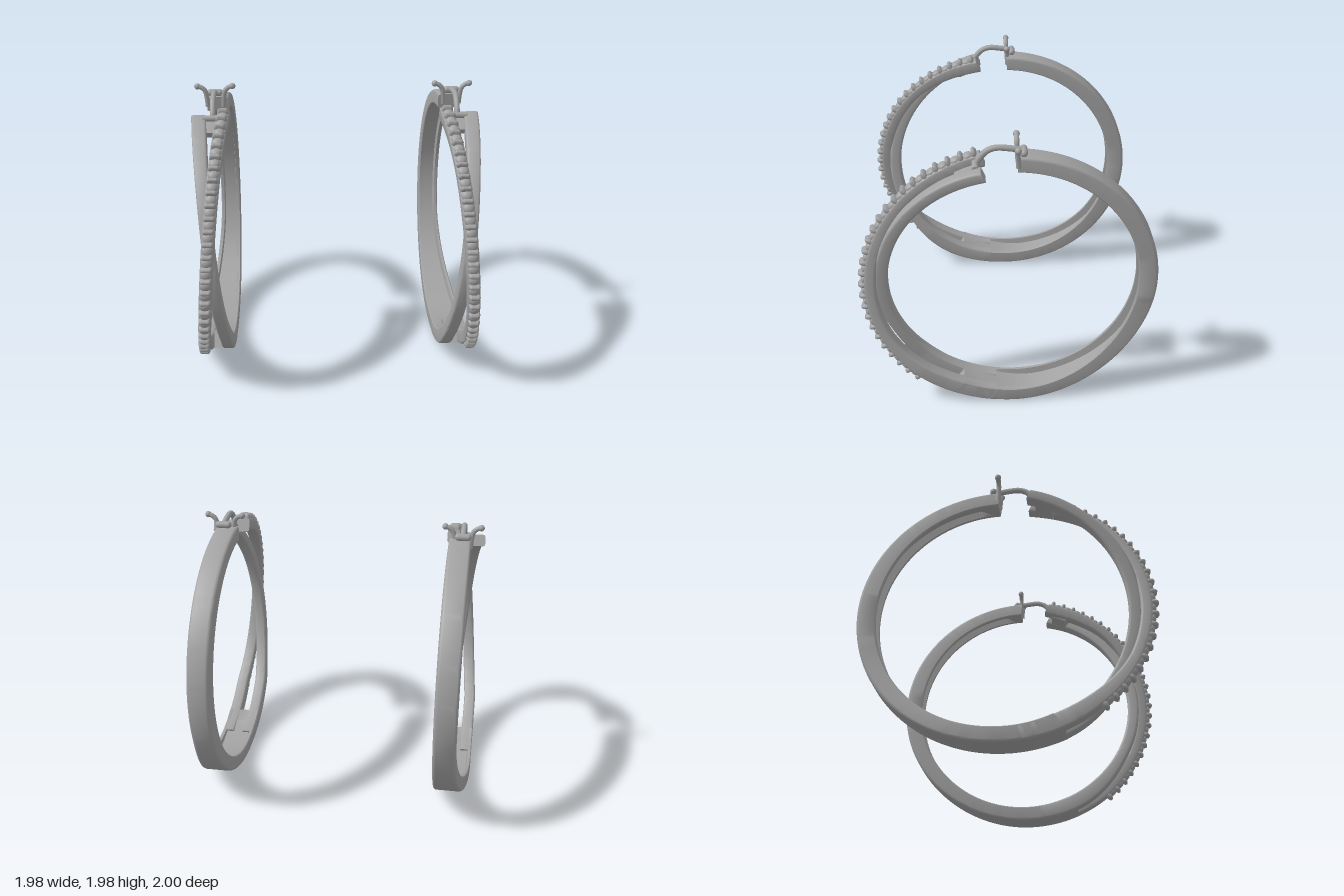
import * as THREE from 'three';
import { toCreasedNormals, mergeGeometries } from 'three/addons/utils/BufferGeometryUtils.js';

const rad = THREE.MathUtils.degToRad;
const { smoothstep, lerp } = THREE.MathUtils;

// point on the hoop: angle in degrees (0 front, 90 top), k = 0 inner rim, 1 outer rim
function hoop(x, deg, k) {
  const c = Math.cos(rad(deg)), s = Math.sin(rad(deg));
  return new THREE.Vector3(x,
    lerp(0.95 + 0.836 * s, 0.95 + 0.94 * s, k),
    lerp(-0.035 + 0.836 * c, -0.02 + 0.98 * c, k));
}

// rounded rectangle in (x, k), counter-clockwise
function roundedSection(x0, x1, k0, k1, rx = 0.02, rk = 0.16) {
  const pts = [];
  const corners = [[x1 - rx, k0 + rk, -90], [x1 - rx, k1 - rk, 0], [x0 + rx, k1 - rk, 90], [x0 + rx, k0 + rk, 180]];
  for (const [cx, ck, a] of corners) {
    for (let i = 0; i <= 3; i++) {
      const t = rad(a + i * 30);
      pts.push([cx + rx * Math.cos(t), ck + rk * Math.sin(t)]);
    }
  }
  return pts;
}

// U channel open towards the inside of the hoop
function channelSection(x0, x1, floor) {
  const w = 0.026, pts = [];
  pts.push([x0, 0.06], [x0 + 0.006, 0], [x0 + w, 0], [x0 + w + 0.006, floor], [x1 - w - 0.006, floor],
    [x1 - w, 0], [x1 - 0.006, 0], [x1, 0.06]);
  for (const [cx, a] of [[x1 - 0.025, 0], [x0 + 0.025, 90]]) {
    for (let i = 0; i <= 4; i++) {
      const t = rad(a + i * 22.5);
      pts.push([cx + 0.025 * Math.cos(t), 0.82 + 0.18 * Math.sin(t)]);
    }
  }
  return pts;
}

// sweep a changing section along the hoop, with closed ends
function sweep(a0, a1, steps, section) {
  const pos = [], idx = [];
  let m = 0, caps = [];
  for (let i = 0; i <= steps; i++) {
    const a = lerp(a0, a1, i / steps), pts = section(a);
    m = pts.length;
    for (const [x, k] of pts) pos.push(...hoop(x, a, k).toArray());
    if (i === 0 || i === steps) {
      caps.push(THREE.ShapeUtils.triangulateShape(pts.map(p => new THREE.Vector2(p[0], p[1])), []));
    }
  }
  for (let i = 0; i < steps; i++) {
    for (let j = 0; j < m; j++) {
      const a = i * m + j, b = i * m + (j + 1) % m;
      idx.push(a, a + m, b, b, a + m, b + m);
    }
  }
  for (const [p, q, r] of caps[0]) idx.push(p, q, r);
  const o = steps * m;
  for (const [p, q, r] of caps[1]) idx.push(o + p, o + r, o + q);
  const g = new THREE.BufferGeometry();
  g.setAttribute('position', new THREE.Float32BufferAttribute(pos, 3));
  g.setIndex(idx);
  return toCreasedNormals(g, rad(38));
}

function tube(points, r) {
  const curve = new THREE.CatmullRomCurve3(points.map(p => new THREE.Vector3(...p)));
  return new THREE.TubeGeometry(curve, 24, r, 10);
}

function ball(r, x, y, z) {
  return new THREE.SphereGeometry(r, 12, 8).translate(x, y, z);
}

function join(list) {
  const parts = list.map(g => {
    const n = g.index ? g.toNonIndexed() : g;
    n.deleteAttribute('uv');
    return n;
  });
  return mergeGeometries(parts);
}

// mirror across x, reversing the corner order
function mirrored(geometry) {
  const g = (geometry.index ? geometry.toNonIndexed() : geometry.clone()).scale(-1, 1, 1);
  for (const name of Object.keys(g.attributes)) {
    const at = g.attributes[name], n = at.itemSize, arr = at.array;
    for (let i = 0; i < at.count; i += 3) {
      for (let c = 0; c < n; c++) {
        const p = (i + 1) * n + c, q = (i + 2) * n + c, tmp = arr[p];
        arr[p] = arr[q];
        arr[q] = tmp;
      }
    }
  }
  return g;
}

// centre lines of the two crossing front bands
const stoneX = a => Math.min(0.945, 0.95 - (a + 50) * 0.00146);
const plainX = a => Math.max(0.79, 0.845 + a * 0.0012);

function earringParts() {
  const parts = {};

  // back half, widening under the hoop and solid at both ends
  parts.backBand = sweep(91.5, 294, 90, a => {
    const x1 = lerp(0.895, 0.988, smoothstep(a, 195, 272));
    const x0 = lerp(0.742, 0.75, smoothstep(a, 230, 290));
    const floor = 0.04 + 0.42 * smoothstep(a, 95, 101) * (1 - smoothstep(a, 258, 288));
    return channelSection(x0, x1, floor);
  });

  // plain front band, passing beneath the stone band
  parts.plainBand = sweep(-82, 77.5, 70, a => {
    const x = plainX(a), h = lerp(0.042, 0.05, smoothstep(a, 20, 76));
    let top = lerp(0.96, 0.55, smoothstep(a, -68, -25));
    top = lerp(top, 0.68, smoothstep(a, 40, 77));
    return roundedSection(x - h, x + h, 0, top, 0.016, 0.12);
  });

  // stone-set front band
  parts.stoneBand = sweep(-82, 78, 70, a => {
    const x = stoneX(a);
    const low = 0.48 * smoothstep(a, -72, -20) * (1 - 0.7 * smoothstep(a, 40, 77));
    return roundedSection(x - 0.043, x + 0.043, low, 0.98, 0.016, 0.12);
  });

  // row of domed stones with raised bars between them
  const stones = [], bars = [];
  for (let i = 0; i < 26; i++) {
    const a = -49 + i * 5;
    const b = a + 2.5;
    const p = hoop(stoneX(a), a, 1);
    bars.push(new THREE.CapsuleGeometry(0.019, 0.042, 4, 10).rotateZ(Math.PI / 2).scale(1, 1.9, 1)
      .rotateX(Math.PI / 2 - rad(a)).translate(p.x, p.y, p.z));
    if (i < 25) {
      const q = hoop(stoneX(b), b, 0.96);
      stones.push(new THREE.SphereGeometry(0.037, 14, 10).scale(1, 0.65, 1)
        .rotateX(Math.PI / 2 - rad(b)).translate(q.x, q.y, q.z));
    }
  }
  parts.stones = join(stones);
  parts.stoneBars = join(bars);

  // bridge joining the two bands at the top, with the hinge pin
  parts.topBridge = sweep(66, 74, 6, () => roundedSection(0.77, 0.93, 0.05, 0.5, 0.01, 0.1));
  parts.hingePin = new THREE.CylinderGeometry(0.022, 0.022, 0.14, 14).rotateZ(Math.PI / 2).translate(0.84, 1.82, 0.21);

  // ear wire with a crosswise tip
  parts.earWire = tube([[0.838, 1.82, 0.205], [0.838, 1.86, 0.185], [0.838, 1.915, 0.135], [0.838, 1.935, 0.08],
    [0.838, 1.93, 0], [0.838, 1.92, -0.06], [0.838, 1.91, -0.095]], 0.02);
  parts.wireTip = new THREE.CapsuleGeometry(0.025, 0.065, 5, 12).rotateZ(Math.PI / 2).translate(0.838, 1.91, -0.093);

  // pair of outward curling catch hooks on the back band
  const hooks = [];
  for (const s of [-1, 1]) {
    const x = d => 0.835 + s * d;
    hooks.push(tube([[x(0.055), 1.82, -0.06], [x(0.06), 1.89, -0.055], [x(0.07), 1.935, -0.053],
      [x(0.095), 1.96, -0.053], [x(0.122), 1.968, -0.053]], 0.017));
    hooks.push(ball(0.022, x(0.122), 1.968, -0.053));
  }
  parts.catchHooks = join(hooks);
  return parts;
}

export function createModel() {
  const metal = new THREE.MeshStandardMaterial({ color: 0xa2a2a2 });
  metal.name = 'grey metal';
  const model = new THREE.Group();
  model.name = 'hoopEarrings';
  const parts = earringParts();
  for (const side of ['left', 'right']) {
    const earring = new THREE.Group();
    earring.name = side + 'Earring';
    for (const [name, geometry] of Object.entries(parts)) {
      const mesh = new THREE.Mesh(side === 'left' ? geometry : mirrored(geometry), metal);
      mesh.name = name;
      earring.add(mesh);
    }
    model.add(earring);
  }
  return model;
}
